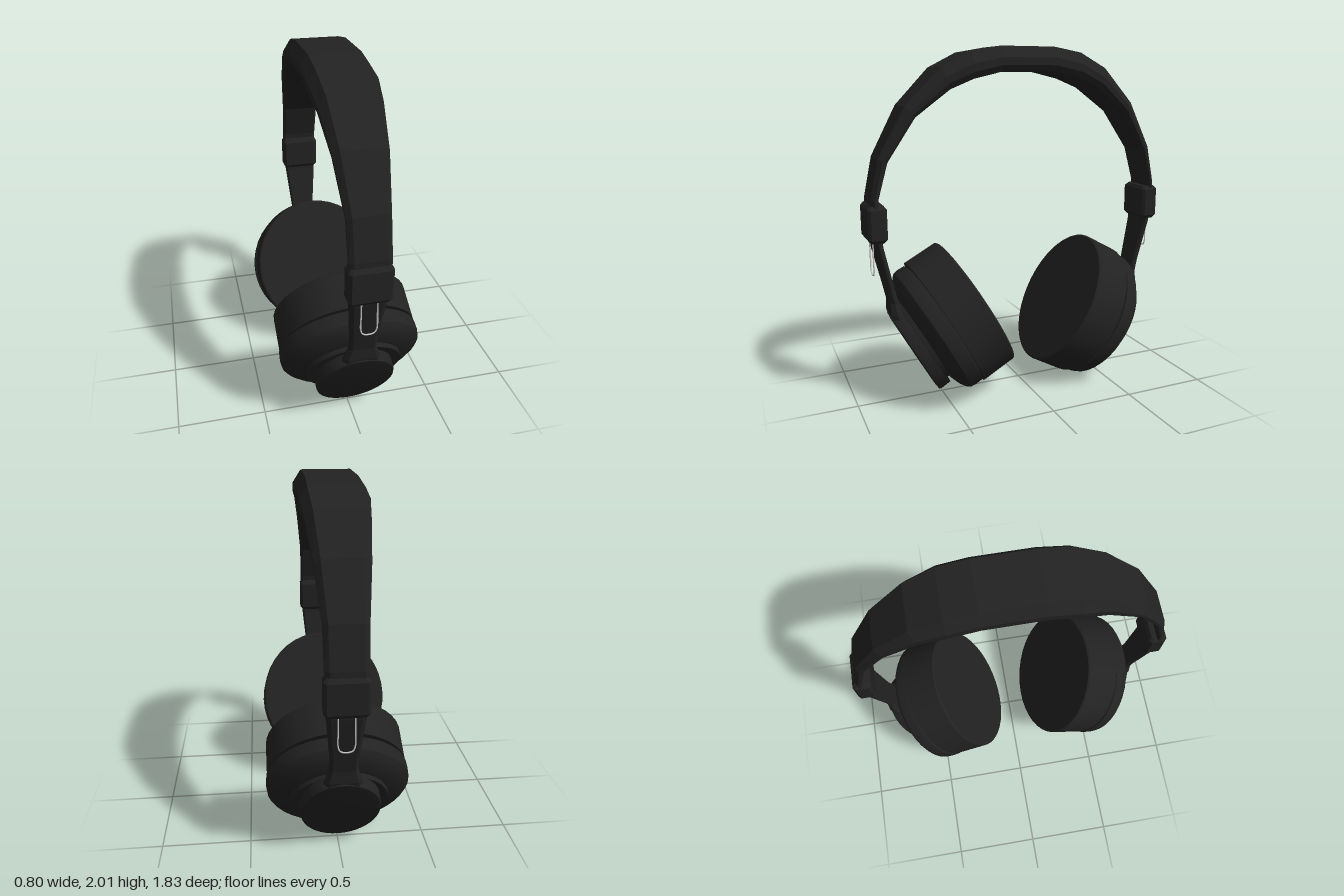
import * as THREE from 'three';
import { toCreasedNormals } from 'three/addons/utils/BufferGeometryUtils.js';

const black = new THREE.MeshStandardMaterial({ color: 0x222222 });
const blackFlat = new THREE.MeshStandardMaterial({ color: 0x222222, flatShading: true });
const metal = new THREE.MeshStandardMaterial({ color: 0xcccccc });

function add(parent, name, geometry, material) {
  const mesh = new THREE.Mesh(geometry, material);
  mesh.name = name;
  parent.add(mesh);
  return mesh;
}

// Chamfered strap section; station = [outer z, outer y, inner z, inner y, half width]
function strapSection([zo, yo, zi, yi, w]) {
  const a = w * 0.88, b = w * 0.77;
  const outline = [[-a, 0], [a, 0], [w, 0.25], [w, 0.55], [b, 1], [-b, 1], [-w, 0.55], [-w, 0.25]];
  return outline.map(([x, t]) => [x, zi, yi, t]).map(([x, z, y, t]) => [x, y + (yo - y) * t, z + (zo - z) * t]);
}

// Box-like section with small chamfers, for the sliders
function blockSection([zo, yo, zi, yi, w]) {
  const a = w * 0.87;
  const outline = [[-a, 0], [a, 0], [w, 0.15], [w, 0.85], [a, 1], [-a, 1], [-w, 0.85], [-w, 0.15]];
  return outline.map(([x, t]) => [x, yi + (yo - yi) * t, zi + (zo - zi) * t]);
}

// Skin a list of sections and close both ends
function loft(sections) {
  const n = sections[0].length, last = (sections.length - 1) * n;
  const index = [];
  for (let i = 0; i < sections.length - 1; i++) {
    for (let j = 0; j < n; j++) {
      const a = i * n + j, b = i * n + (j + 1) % n;
      index.push(a, a + n, b, b, a + n, b + n);
    }
  }
  for (let j = 1; j < n - 1; j++) {
    index.push(0, j, j + 1, last, last + j + 1, last + j);
  }
  const geometry = new THREE.BufferGeometry();
  geometry.setAttribute('position', new THREE.Float32BufferAttribute(sections.flat(2), 3));
  geometry.setIndex(index);
  geometry.computeVertexNormals();
  return geometry;
}

// Elliptical turned part; profile = [radius, distance outward]
function turned(profile, sx, sz) {
  const geometry = new THREE.LatheGeometry(profile.map(([r, t]) => new THREE.Vector2(r, t)), 40);
  geometry.scale(sx, 1, sz);
  return toCreasedNormals(geometry, 0.45);
}

function makeSide(name, slide) {
  const side = new THREE.Group();
  side.name = name;

  // Ear cup, tilted so its axis points outward and down
  const cup = new THREE.Group();
  cup.name = 'earCup';
  cup.position.set(0, 0.528, 0.288);
  cup.rotation.x = THREE.MathUtils.degToRad(119);
  side.add(cup);

  const pad = add(cup, 'earPad', turned(
    [[0, 0], [0.412, 0], [0.42, 0.008], [0.42, 0.218], [0.38, 0.22], [0, 0.22]], 0.94, 1), black);
  const shell = add(cup, 'cupShell', turned(
    [[0, 0.2], [0.385, 0.2], [0.385, 0.226], [0.4, 0.23], [0.402, 0.27], [0.397, 0.303], [0.38, 0.322],
      [0.345, 0.345], [0.285, 0.366], [0.272, 0.368], [0.268, 0.392], [0, 0.392]], 1, 1.01), black);
  pad.position.z = shell.position.z = slide;
  const cap = add(cup, 'cupCap', turned(
    [[0, 0.38], [0.284, 0.38], [0.286, 0.44], [0.28, 0.456], [0.24, 0.46], [0, 0.46]], 0.78, 1), black);
  cap.position.z = 0.04;

  // Arm from the cap up into the slider
  add(side, 'arm', loft([
    [0.79, 0.49, 0.72, 0.5, 0.105],
    [0.8, 0.53, 0.74, 0.53, 0.1],
    [0.802, 0.6, 0.755, 0.59, 0.078],
    [0.82, 0.68, 0.775, 0.67, 0.075],
    [0.878, 0.93, 0.835, 0.93, 0.1],
    [0.887, 1.0, 0.84, 1.0, 0.105],
  ].map(strapSection)), blackFlat);

  // Slider block
  add(side, 'slider', loft([
    [0.9, 0.955, 0.825, 0.955, 0.1],
    [0.915, 0.975, 0.81, 0.975, 0.115],
    [0.915, 1.14, 0.81, 1.14, 0.115],
    [0.9, 1.16, 0.825, 1.16, 0.1],
  ].map(blockSection)), blackFlat);

  // Thin wire loop hanging from the slider
  const wire = [[-0.042, 0.97], [-0.042, 0.88], [-0.042, 0.79], [-0.03, 0.765], [0, 0.758],
    [0.03, 0.765], [0.042, 0.79], [0.042, 0.88], [0.042, 0.97]];
  const curve = new THREE.CatmullRomCurve3(wire.map(([x, y]) => new THREE.Vector3(x, y, 0.882)));
  add(side, 'wireLoop', new THREE.TubeGeometry(curve, 48, 0.004, 6), metal);
  return side;
}

export function createModel() {
  const model = new THREE.Group();
  model.name = 'headphones';

  // Headband: one half listed, the other mirrored
  const half = [
    [0.9, 1.05, 0.858, 1.05, 0.11],
    [0.893, 1.19, 0.853, 1.19, 0.11],
    [0.845, 1.41, 0.797, 1.39, 0.113],
    [0.697, 1.683, 0.645, 1.625, 0.14],
    [0.5, 1.885, 0.455, 1.77, 0.165],
    [0.33, 1.97, 0.325, 1.825, 0.183],
    [0.16, 2, 0.16, 1.863, 0.183],
  ];
  const mirrored = half.map(([zo, yo, zi, yi, w]) => [-zo, yo, -zi, yi, w]).reverse();
  add(model, 'headband', loft([...half, ...mirrored].map(strapSection)), blackFlat);

  // The back ear cup sits slightly lower on its cap
  const front = makeSide('frontSide', 0);
  const back = makeSide('backSide', 0.047);
  back.rotation.y = Math.PI;
  model.add(front, back);
  return model;
}
